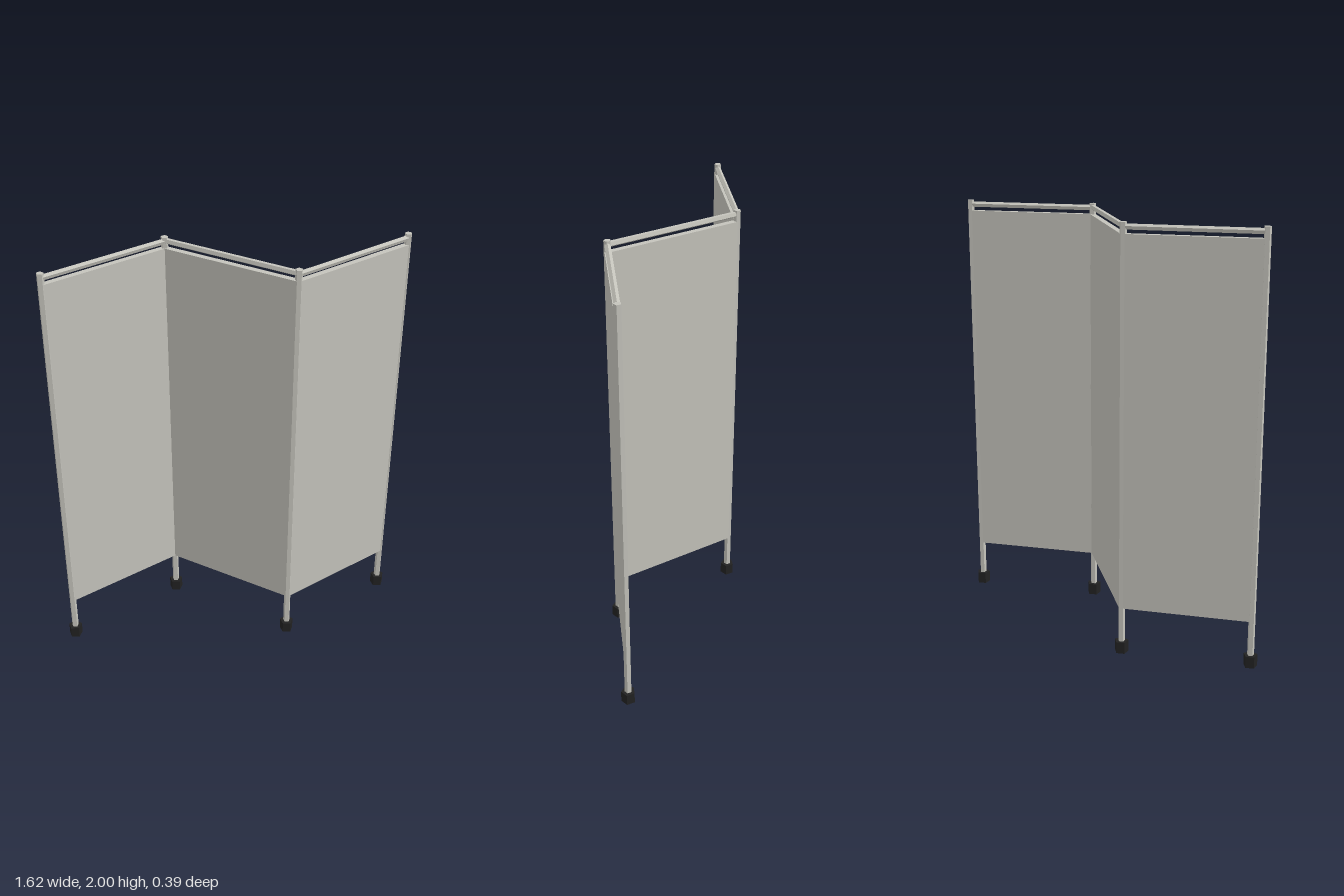
import * as THREE from 'three';

const fabric = new THREE.MeshStandardMaterial({ color: 0xc4c3bb, flatShading: true });
fabric.name = 'pale grey';
const rubber = new THREE.MeshStandardMaterial({ color: 0x222222, flatShading: true });
rubber.name = 'black rubber';

function add(parent, name, geometry, material, x, y, z) {
  const mesh = new THREE.Mesh(geometry, material);
  mesh.name = name;
  mesh.position.set(x, y, z);
  parent.add(mesh);
  return mesh;
}

// Upright five-sided bar with one corner towards the back
function bar(radius, height) {
  return new THREE.CylinderGeometry(radius, radius, height, 5).rotateY(Math.PI);
}

export function createModel() {
  const screen = new THREE.Group();
  screen.name = 'foldingScreen';

  // Zigzag plan of the posts: x, z
  const joints = [[-0.78, 0.167], [-0.278, -0.167], [0.278, 0.167], [0.78, -0.167]];

  // Posts standing on stubby feet
  for (const [x, z] of joints) {
    add(screen, 'post', bar(0.0165, 1.96), fabric, x, 1.02, z);
    add(screen, 'foot', bar(0.033, 0.056), rubber, x, 0.028, z);
  }

  // A cloth panel and a top rail between neighbouring posts
  for (let i = 0; i < 3; i++) {
    const [x0, z0] = joints[i], [x1, z1] = joints[i + 1];
    const length = Math.hypot(x1 - x0, z1 - z0);
    const section = new THREE.Group();
    section.name = 'section';
    section.position.set((x0 + x1) / 2, 0, (z0 + z1) / 2);
    section.rotation.y = -Math.atan2(z1 - z0, x1 - x0);
    screen.add(section);

    add(section, 'panel', new THREE.BoxGeometry(length, 1.725, 0.026), fabric, 0, 1.0875, 0);

    // The middle rail has a flat side up, the outer ones a ridge
    const rail = new THREE.CylinderGeometry(0.0135, 0.0135, length, 5);
    rail.rotateY(i === 1 ? 0 : Math.PI).rotateX(Math.PI / 2).rotateY(Math.PI / 2);
    rail.computeBoundingBox();
    const middle = (rail.boundingBox.min.y + rail.boundingBox.max.y) / 2;
    add(section, 'topRail', rail, fabric, 0, 1.98 - middle, 0);
  }
  return screen;
}
